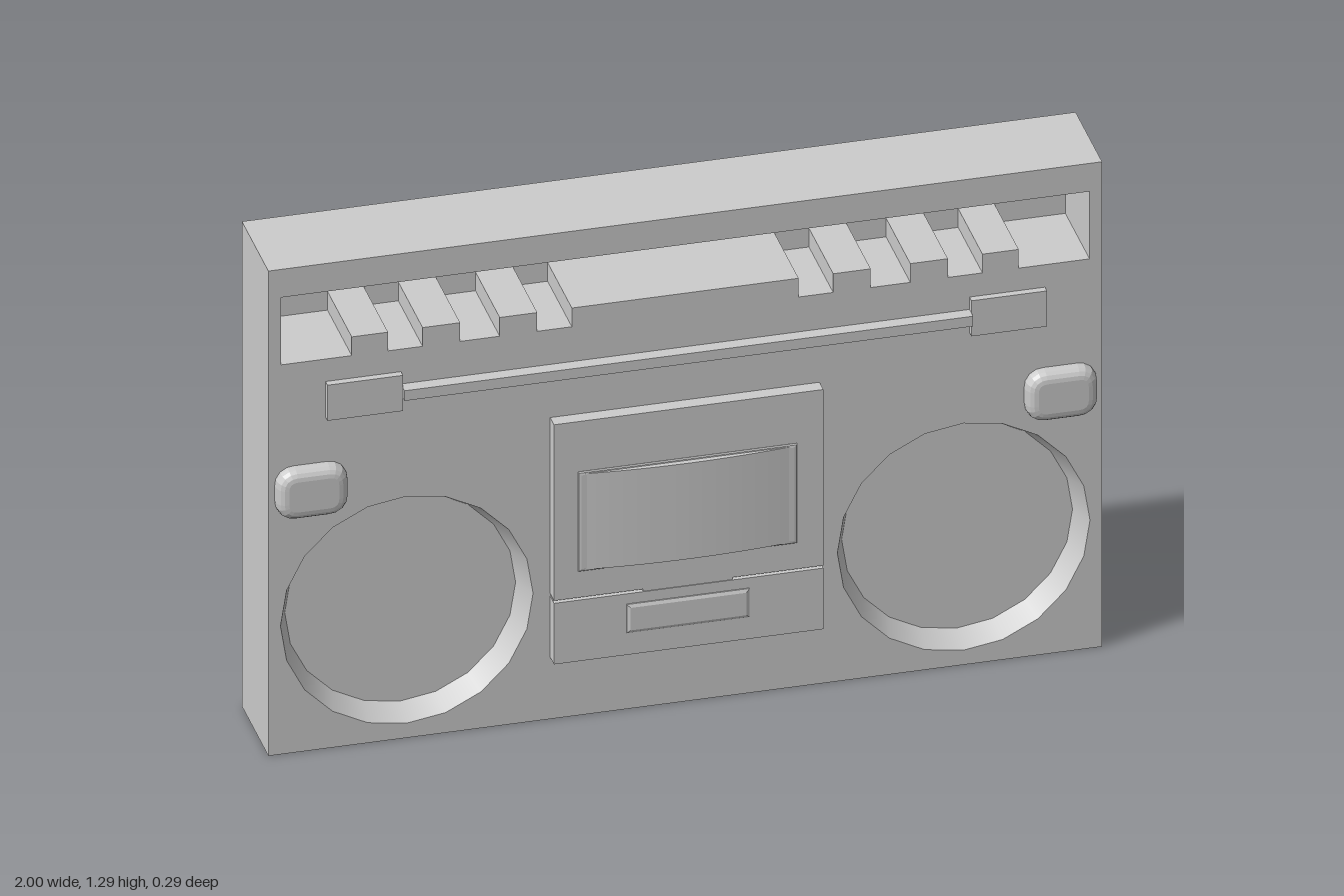
import * as THREE from 'three';

const FRONT = 0.095, BACK = -0.145, W = 1, H = 1.295;
const SLOT_BACK = -0.125, WELL_BACK = 0.035;
const SIDES = 20, WELL_R = 0.303;

export function createModel() {
  const root = new THREE.Group();
  root.name = 'cassettePlayer';
  const mat = new THREE.MeshStandardMaterial({ color: 0xcccccc });
  const matDouble = new THREE.MeshStandardMaterial({ color: 0xcccccc, side: THREE.DoubleSide });

  const add = (name, geometry, material = mat, parent = root) => {
    const mesh = new THREE.Mesh(geometry, material);
    mesh.name = name;
    parent.add(mesh);
    return mesh;
  };
  // box given by its limits
  const box = (name, x0, x1, y0, y1, z0, z1) => {
    const g = new THREE.BoxGeometry(x1 - x0, y1 - y0, z1 - z0);
    g.translate((x0 + x1) / 2, (y0 + y1) / 2, (z0 + z1) / 2);
    return add(name, g);
  };
  const path = (pts) => pts.map(([x, y]) => new THREE.Vector2(x, y));
  const extrude = (shape, z0, z1) =>
    new THREE.ExtrudeGeometry(shape, { depth: z1 - z0, bevelEnabled: false }).translate(0, 0, z0);

  // outline of the key slot: the key tops form steps along its lower edge
  const keySteps = [0.8, 0.713, 0.63, 0.54, 0.445, 0.355, 0.272];
  const lowerEdge = [[-0.97, 1.04]];
  let low = true;
  for (const x of [...keySteps.map((v) => -v), ...[...keySteps].reverse()]) {
    lowerEdge.push([x, low ? 1.04 : 1.09], [x, low ? 1.09 : 1.04]);
    low = !low;
  }
  const slot = path([...lowerEdge, [0.97, 1.04], [0.97, 1.22], [-0.97, 1.22]]);

  // speaker well outline
  const well = (cx) => path(Array.from({ length: SIDES }, (_, i) => {
    const a = (i / SIDES) * Math.PI * 2;
    return [cx + WELL_R * Math.cos(a), 0.342 + WELL_R * Math.sin(a)];
  }));

  // casing in three layers: pierced front, slotted middle, closed back
  const layer = (name, holes, z0, z1) => {
    const shape = new THREE.Shape(path([[-W, 0], [W, 0], [W, H], [-W, H]]));
    shape.holes = holes.map((h) => new THREE.Path(h));
    add(name, extrude(shape, z0, z1));
  };
  layer('casingFront', [slot, well(-0.668), well(0.668)], WELL_BACK, FRONT);
  layer('casingMiddle', [slot], SLOT_BACK, WELL_BACK);
  layer('casingBack', [], BACK, SLOT_BACK);

  for (const s of [-1, 1]) {
    const side = s > 0 ? 'left' : 'right';

    // tapered wall of the speaker well
    const wall = new THREE.CylinderGeometry(WELL_R, 0.277, FRONT - WELL_BACK, SIDES, 1, true);
    wall.rotateX(Math.PI / 2).translate(s * 0.668, 0.342, (FRONT + WELL_BACK) / 2);
    add(side + 'SpeakerWall', wall, matDouble);

    // rounded knob above the speaker
    const w = 0.06, h = 0.04, r = 0.022;
    const k = new THREE.Shape();
    k.moveTo(-w + r, -h).lineTo(w - r, -h).quadraticCurveTo(w, -h, w, -h + r)
      .lineTo(w, h - r).quadraticCurveTo(w, h, w - r, h)
      .lineTo(-w + r, h).quadraticCurveTo(-w, h, -w, h - r)
      .lineTo(-w, -h + r).quadraticCurveTo(-w, -h, -w + r, -h);
    const knob = new THREE.ExtrudeGeometry(k, {
      depth: 0.01, bevelThickness: 0.026, bevelSize: 0.026, bevelSegments: 4, curveSegments: 4,
    });
    add(side + 'Knob', knob).position.set(s * 0.899, 0.7, 0.094);

    // plate at the end of the tuning bar
    const a = s * 0.682, b = s * 0.863;
    box(side + 'TunerPlate', Math.min(a, b), Math.max(a, b), 0.885, 0.98, FRONT - 0.01, 0.113);
  }
  box('tuningBar', -0.682, 0.682, 0.92, 0.947, FRONT - 0.01, 0.128);

  // cassette panel, split by a fine groove with a catch in its middle
  box('cassettePanel', -0.324, 0.322, 0.335, 0.805, FRONT - 0.01, 0.13);
  box('controlPanel', -0.324, 0.322, 0.165, 0.328, FRONT - 0.01, 0.13);
  box('panelBacking', -0.322, 0.32, 0.32, 0.34, FRONT - 0.01, 0.118);
  box('panelCatch', -0.11, 0.105, 0.327, 0.336, FRONT - 0.01, 0.128);

  // cassette door with a gently bowed face and softened edges
  const bow = new THREE.Shape();
  bow.moveTo(-0.255, -0.125).lineTo(0.255, -0.125).lineTo(0.255, 0.125).lineTo(-0.255, 0.125);
  const frame = new THREE.ExtrudeGeometry(bow, {
    depth: 0.004, bevelThickness: 0.004, bevelSize: 0.008, bevelSegments: 2,
  });
  add('doorFrame', frame).position.set(-0.004, 0.538, 0.127);
  const arc = new THREE.Shape();
  arc.moveTo(-0.252, 0);
  for (let i = 0; i <= 16; i++) {
    const t = i / 8 - 1;
    arc.lineTo(0.252 * t, -0.004 - 0.014 * (1 - t * t));
  }
  arc.lineTo(0.252, 0);
  const door = new THREE.ExtrudeGeometry(arc, { depth: 0.256, bevelEnabled: false });
  door.rotateX(-Math.PI / 2).scale(1, 1, 1);
  // turn the bow toward the front
  door.scale(1, 1, -1);
  const idx = door.attributes.position;
  for (let i = 0; i < idx.count; i++) idx.setZ(i, -idx.getZ(i));
  door.computeVertexNormals();
  add('cassetteDoor', door, matDouble).position.set(-0.004, 0.41, 0.13);

  // raised button on the lower panel
  const b = new THREE.Shape(path([[-0.139, -0.03], [0.139, -0.03], [0.139, 0.03], [-0.139, 0.03]]));
  const button = new THREE.ExtrudeGeometry(b, {
    depth: 0.004, bevelThickness: 0.004, bevelSize: 0.008, bevelSegments: 1,
  });
  add('panelButton', button).position.set(-0.003, 0.263, 0.129);

  return root;
}
